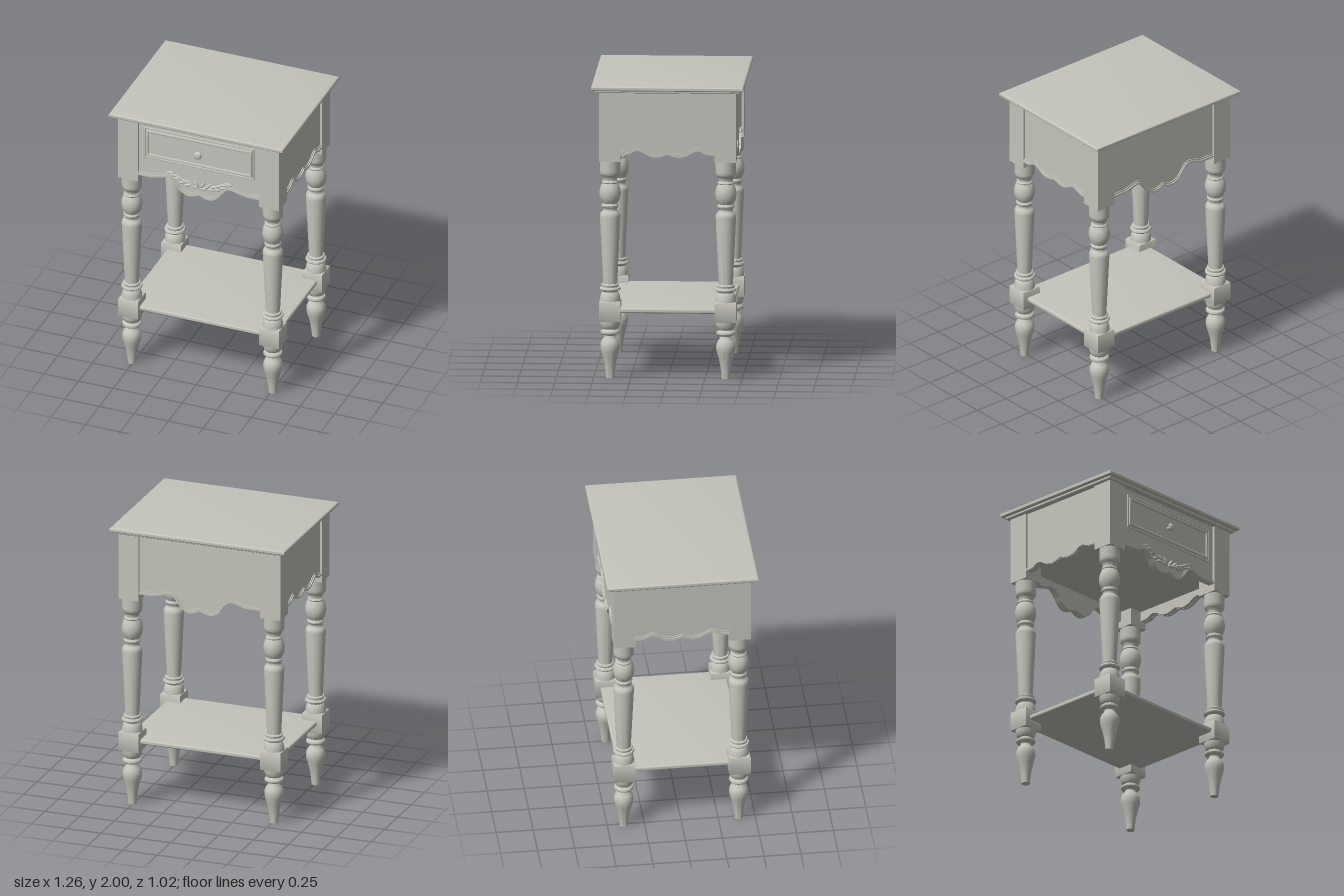
import * as THREE from 'three';
import { toCreasedNormals } from 'three/addons/utils/BufferGeometryUtils.js';

const TOP = 1.96;
const LEG_X = 0.51, LEG_Z = 0.389, LEG_W = 0.145;

export function createModel() {
  const paint = new THREE.MeshStandardMaterial({ color: 0xc4c4bc });
  paint.name = 'pale grey paint';
  const table = new THREE.Group();
  table.name = 'sideTable';

  const add = (parent, name, geometry, x = 0, y = 0, z = 0) => {
    const mesh = new THREE.Mesh(geometry, paint);
    mesh.name = name;
    mesh.position.set(x, y, z);
    parent.add(mesh);
    return mesh;
  };
  const box = (w, h, d) => new THREE.BoxGeometry(w, h, d);
  const rect = (Type, w, h) => new Type([
    new THREE.Vector2(-w / 2, -h / 2), new THREE.Vector2(w / 2, -h / 2),
    new THREE.Vector2(w / 2, h / 2), new THREE.Vector2(-w / 2, h / 2),
  ]);

  // Horizontal slab with moulded edges and sharp mitred corners, centred on its middle height
  const slab = (w, h, d, bevel, segments) => {
    const g = new THREE.ExtrudeGeometry(rect(THREE.Shape, w - 2 * bevel, d - 2 * bevel), {
      depth: h - 2 * bevel, bevelSize: bevel, bevelThickness: bevel, bevelSegments: segments,
    });
    g.translate(0, 0, bevel - h / 2);
    g.rotateX(-Math.PI / 2);
    return toCreasedNormals(g, 0.7);
  };

  // Table top with a rounded lip above a smaller moulding
  add(table, 'tableTop', slab(1.26, 0.03, 1.024, 0.012, 5), 0, 1.985, 0);
  add(table, 'topMoulding', slab(1.215, 0.022, 0.97, 0.008, 3), 0, 1.965, 0);

  // Turned leg profiles: [radius, height]
  const footProfile = [
    [0, 0], [0.028, 0], [0.031, 0.04], [0.038, 0.09], [0.049, 0.14], [0.061, 0.18], [0.066, 0.21],
    [0.064, 0.235], [0.054, 0.258], [0.039, 0.275], [0.035, 0.288], [0.04, 0.296], [0.058, 0.298],
    [0.064, 0.304], [0.066, 0.311], [0.062, 0.32], [0.05, 0.325], [0.045, 0.333], [0.053, 0.336],
    [0.06, 0.345], [0.068, 0.37], [0.07, 0.4],
  ];
  const shaftProfile = [
    [0.07, 0.515], [0.069, 0.54], [0.064, 0.565], [0.057, 0.58], [0.051, 0.587], [0.056, 0.594],
    [0.068, 0.598], [0.072, 0.606], [0.068, 0.616], [0.057, 0.62], [0.057, 0.627], [0.061, 0.634],
    [0.057, 0.641], [0.048, 0.643], [0.069, 1.1], [0.068, 1.113], [0.06, 1.13], [0.049, 1.138],
    [0.046, 1.15], [0.05, 1.162], [0.057, 1.168], [0.058, 1.177], [0.052, 1.185], [0.05, 1.19],
    [0.061, 1.208], [0.069, 1.232], [0.072, 1.258], [0.069, 1.285], [0.062, 1.308], [0.052, 1.326],
    [0.056, 1.333], [0.053, 1.341], [0.047, 1.346], [0.048, 1.36], [0.053, 1.372], [0.062, 1.382],
    [0.068, 1.392], [0.069, 1.41], [0.069, 1.49],
  ];
  const turned = (profile) => toCreasedNormals(
    new THREE.LatheGeometry(profile.map(([r, y]) => new THREE.Vector2(r, y)), 40), 0.75);
  const foot = turned(footProfile);
  const shaft = turned(shaftProfile);
  const lowerBlock = slab(LEG_W, 0.137, LEG_W, 0.007, 2);
  const upperBlock = box(LEG_W, TOP - 1.482, LEG_W);

  for (const sx of [-1, 1]) {
    for (const sz of [-1, 1]) {
      const leg = new THREE.Group();
      leg.name = (sz > 0 ? 'front' : 'back') + (sx > 0 ? 'Left' : 'Right') + 'Leg';
      leg.position.set(sx * LEG_X, 0, sz * LEG_Z);
      add(leg, 'turnedFoot', foot);
      add(leg, 'lowerBlock', lowerBlock, 0, 0.457, 0);
      add(leg, 'turnedShaft', shaft);
      add(leg, 'upperBlock', upperBlock, 0, (TOP + 1.482) / 2, 0);
      table.add(leg);
    }
  }

  // Lower shelf with a rounded edge
  add(table, 'shelf', slab(1.09, 0.034, 0.86, 0.015, 5), 0, 0.46, 0);

  // Scalloped aprons: half of the lower edge, from the centre outwards
  const longWave = [[0, 1.468], [0.04, 1.451], [0.085, 1.446], [0.13, 1.47], [0.165, 1.515],
    [0.2, 1.551], [0.235, 1.558], [0.28, 1.546], [0.33, 1.533], [0.38, 1.531], [0.437, 1.531]];
  const shortWave = [[0, 1.534], [0.035, 1.52], [0.08, 1.513], [0.125, 1.523], [0.165, 1.545],
    [0.2, 1.557], [0.23, 1.55], [0.26, 1.534], [0.318, 1.53]];
  const waveLine = (half) => {
    const pts = new THREE.SplineCurve(half.map(([x, y]) => new THREE.Vector2(x, y))).getPoints(36);
    const mirrored = pts.slice(1).reverse().map((p) => new THREE.Vector2(-p.x, p.y));
    return [...mirrored, ...pts];
  };
  const apron = (name, half, distance, angle) => {
    const group = new THREE.Group();
    group.name = name;
    group.rotation.y = angle;
    const line = waveLine(half);
    const end = half[half.length - 1][0];
    const panel = new THREE.Shape([...line, new THREE.Vector2(end, TOP), new THREE.Vector2(-end, TOP)]);
    add(group, 'apronPanel', toCreasedNormals(
      new THREE.ExtrudeGeometry(panel, { depth: 0.035, bevelEnabled: false }), 0.5), 0, 0, distance - 0.035);
    // Stepped bead that follows the scalloped edge
    [[0, 0.026, 0.006], [0.002, 0.015, 0.014]].forEach(([low, high, out]) => {
      const upper = line.map((p) => new THREE.Vector2(p.x, p.y + high)).reverse();
      const lower = line.map((p) => new THREE.Vector2(p.x, p.y + low - 0.002));
      add(group, 'scallopedBead', toCreasedNormals(
        new THREE.ExtrudeGeometry(new THREE.Shape([...lower, ...upper]), { depth: out + 0.01, bevelEnabled: false }),
        0.5), 0, 0, distance - 0.01);
    });
    table.add(group);
    return group;
  };
  const FRONT = 0.443, SIDE = 0.568;
  const front = apron('frontApron', longWave, FRONT, 0);
  apron('backApron', longWave, FRONT, Math.PI);
  apron('leftApron', shortWave, SIDE, Math.PI / 2);
  apron('rightApron', shortWave, SIDE, -Math.PI / 2);
  add(table, 'caseBottom', box(1.1, 0.02, 0.85), 0, 1.61, 0);

  // Drawer front with nested raised frames
  const frame = (w, h, border, depth, bevel) => {
    const shape = rect(THREE.Shape, w - 2 * bevel, h - 2 * bevel);
    shape.holes.push(rect(THREE.Path, w - 2 * border + 2 * bevel, h - 2 * border + 2 * bevel));
    return toCreasedNormals(new THREE.ExtrudeGeometry(shape, {
      depth, bevelSize: bevel, bevelThickness: bevel, bevelSegments: 3,
    }), 0.7);
  };
  const drawer = new THREE.Group();
  drawer.name = 'drawer';
  drawer.position.set(0, 1.795, FRONT);
  add(drawer, 'drawerEdge', frame(0.795, 0.24, 0.012, 0.005, 0.003));
  add(drawer, 'drawerPanel', box(0.765, 0.21, 0.008));
  add(drawer, 'drawerMoulding', frame(0.765, 0.205, 0.02, 0.008, 0.006));
  const knobProfile = [[0.016, 0], [0.012, 0.008], [0.011, 0.02], [0.022, 0.024], [0.028, 0.031],
    [0.026, 0.039], [0.018, 0.045], [0.008, 0.048], [0, 0.0485]];
  add(drawer, 'knob', turned(knobProfile).rotateX(Math.PI / 2), 0, -0.003, 0);
  table.add(drawer);

  // Carved leaf spray, mirrored about the centre: [x, y, length, width, angle]
  const leaves = [
    [0.022, 1.545, 0.06, 0.02, 1.0], [0.035, 1.522, 0.065, 0.02, 0.1], [0.062, 1.545, 0.07, 0.02, 0.75],
    [0.085, 1.525, 0.06, 0.02, -0.25], [0.105, 1.55, 0.07, 0.02, 0.3], [0.125, 1.535, 0.05, 0.018, -0.35],
    [0.145, 1.567, 0.07, 0.02, 0.5], [0.165, 1.556, 0.06, 0.018, -0.05], [0.185, 1.582, 0.06, 0.018, 0.1],
    [0.21, 1.596, 0.06, 0.018, -0.15], [0.205, 1.575, 0.05, 0.014, 0.55],
  ];
  const leafBlank = new THREE.SphereGeometry(0.5, 16, 10);
  const carving = new THREE.Group();
  carving.name = 'leafCarving';
  for (const s of [-1, 1]) {
    for (const [x, y, length, width, angle] of leaves) {
      const leaf = add(carving, 'carvedLeaf', leafBlank, s * x, y, FRONT);
      leaf.scale.set(length, width, 0.024);
      leaf.rotation.z = s * angle;
    }
  }
  front.add(carving);

  return table;
}
